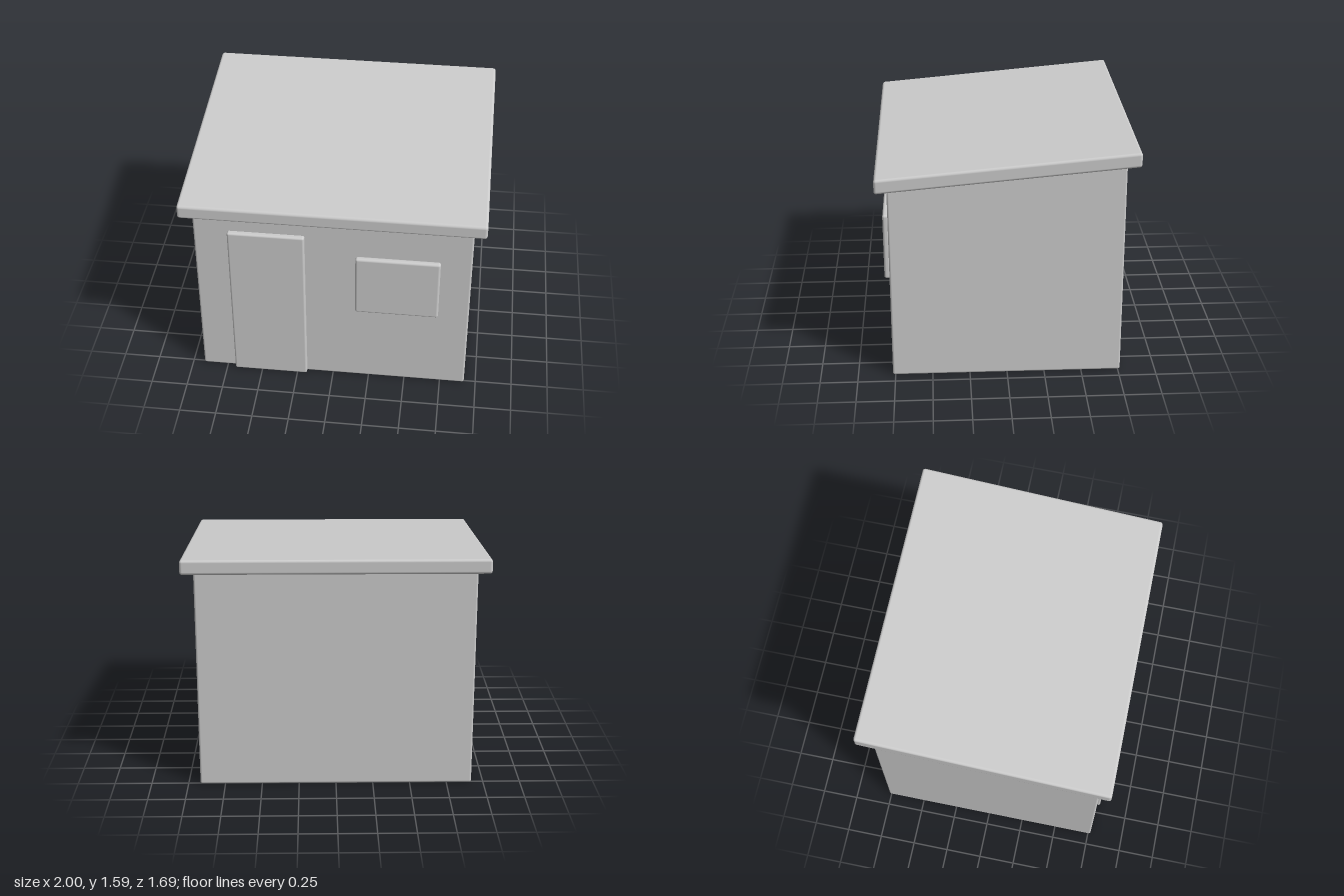
import * as THREE from 'three';
import { RoundedBoxGeometry } from 'three/addons/geometries/RoundedBoxGeometry.js';

const SLOPE = -0.089; // roof height change per unit of z

// Rounded box given by its min and max corners
function block(min, max, radius) {
  const size = max.map((v, i) => v - min[i]);
  const g = new RoundedBoxGeometry(size[0], size[1], size[2], 4, radius);
  g.translate(...max.map((v, i) => (v + min[i]) / 2));
  return g;
}

// Tilt every vertex above a given height along z, keeping the ends vertical
function slant(g, above) {
  const p = g.attributes.position, n = g.attributes.normal;
  const v = new THREE.Vector3();
  for (let i = 0; i < p.count; i++) {
    if (p.getY(i) < above) continue;
    p.setY(i, p.getY(i) + SLOPE * p.getZ(i));
    v.fromBufferAttribute(n, i);
    v.z -= SLOPE * v.y;
    v.normalize();
    n.setXYZ(i, v.x, v.y, v.z);
  }
  return g;
}

export function createModel() {
  const group = new THREE.Group();
  const grey = new THREE.MeshStandardMaterial({ color: 0xcccccc });
  grey.name = 'plain grey';

  const add = (name, geometry) => {
    const mesh = new THREE.Mesh(geometry, grey);
    mesh.name = name;
    group.add(mesh);
  };

  // Walls: block whose top follows the roof pitch
  add('walls', slant(block([-0.92, 0, -0.765], [0.92, 1.44, 0.768], 0.014), 0.7));

  // Overhanging single-pitch roof slab
  add('roof', slant(block([-1, 1.4215, -0.845], [1, 1.5185, 0.845], 0.018), 0));

  // Door and window panels on the front wall
  add('door', block([-0.692, 0, 0.74], [-0.182, 1.215, 0.8], 0.014));
  add('window', block([0.155, 0.62, 0.768], [0.715, 1.08, 0.81], 0.016));

  return group;
}
